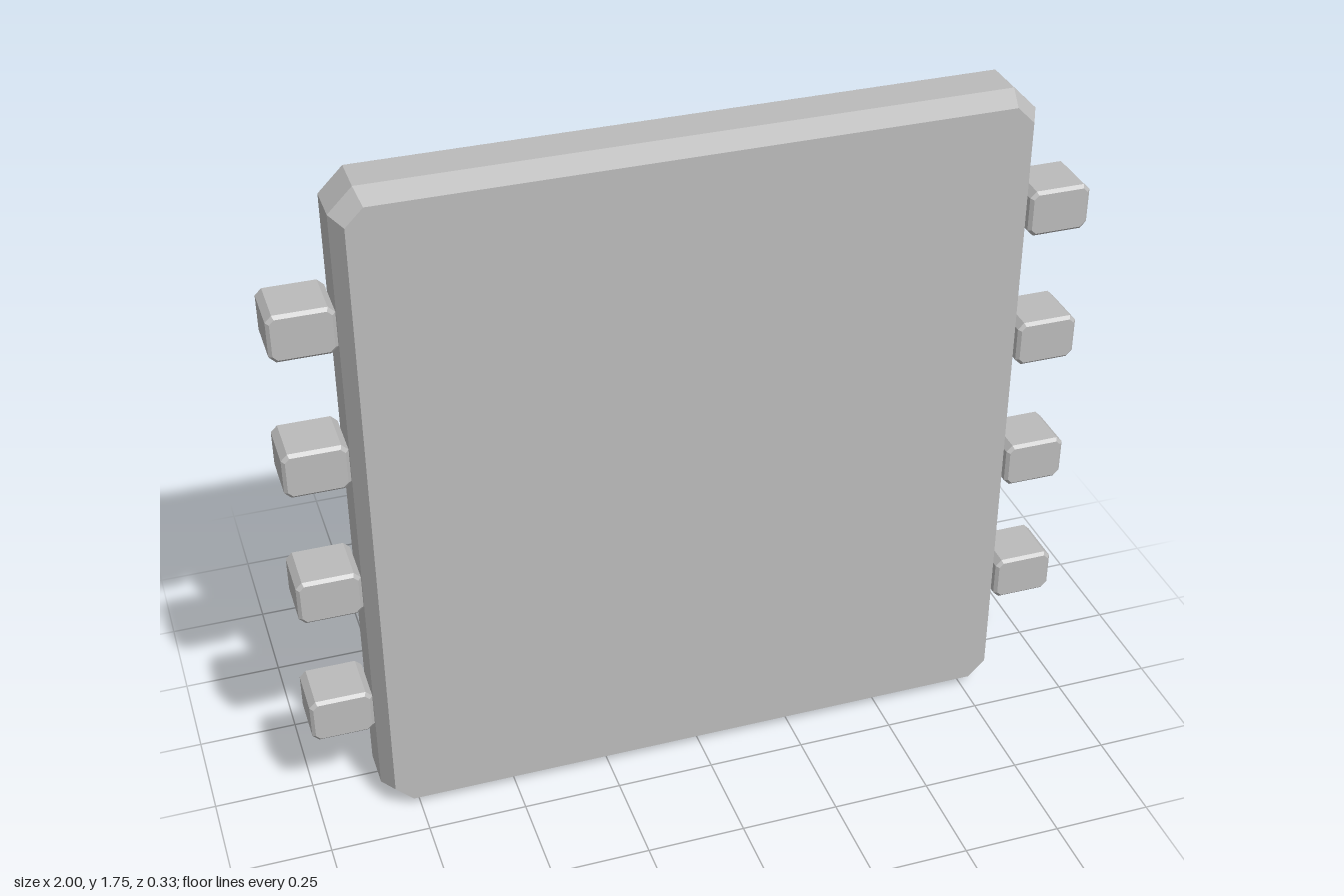
import * as THREE from 'three';

const grey = new THREE.MeshStandardMaterial({ color: 0xbbbbbb });
grey.name = 'plain grey';
grey.flatShading = true;
grey.side = THREE.DoubleSide;

function addMesh(parent, name, geometry, x, y, z) {
  const mesh = new THREE.Mesh(geometry, grey);
  mesh.name = name;
  mesh.position.set(x, y, z);
  parent.add(mesh);
  return mesh;
}

// Slab with cut corners and chamfered front and back rims, centred on its origin
function chamferedSlab(w, h, d, corner, rim, rimDepth) {
  const x = w / 2, y = h / 2, c = corner;
  const outline = new THREE.Shape([
    [x - c, -y], [x, -y + c], [x, y - c], [x - c, y],
    [-x + c, y], [-x, y - c], [-x, -y + c], [-x + c, -y],
  ].map(([px, py]) => new THREE.Vector2(px, py)));
  const geo = new THREE.ExtrudeGeometry(outline, {
    depth: d - 2 * rimDepth, bevelEnabled: true, bevelSegments: 1,
    bevelSize: rim, bevelOffset: -rim, bevelThickness: rimDepth,
  });
  geo.translate(0, 0, -d / 2 + rimDepth);
  return geo;
}

// Open folded blade: an upper sloping strip and a lower return strip
function louverBlade() {
  const rows = [
    [0.58, -0.55, 0, 0],
    [0.63, -0.5, -0.05, -0.056],
    [0.54, -0.59, -0.115, 0],
  ];
  const positions = [];
  for (const [x0, x1, y, z] of rows) positions.push(x0, y, z, x1, y, z);
  const geo = new THREE.BufferGeometry();
  geo.setAttribute('position', new THREE.Float32BufferAttribute(positions, 3));
  geo.setIndex([0, 2, 1, 1, 2, 3, 2, 4, 3, 3, 4, 5]);
  const flat = geo.toNonIndexed();
  flat.computeVertexNormals();
  return flat;
}

export function createModel() {
  const model = new THREE.Group();
  model.name = 'ventedPanel';

  // Main panel
  addMesh(model, 'panel', chamferedSlab(1.68, 1.75, 0.21, 0.06, 0.027, 0.053), 0, 0.875, 0.055);

  // Side lugs
  const lug = chamferedSlab(0.157, 0.12, 0.143, 0.016, 0.008, 0.008);
  for (const side of [-1, 1]) {
    for (let i = 0; i < 4; i++) {
      addMesh(model, 'sideLug', lug, side * 0.9215, 0.31 + i * 0.367, 0.055);
    }
  }

  // Vents on the back: a raised plate with a folded blade
  const plate = chamferedSlab(1.295, 0.242, 0.055, 0.02, 0.01, 0.012);
  const blade = louverBlade();
  for (let i = 0; i < 3; i++) {
    const vent = new THREE.Group();
    vent.name = 'vent';
    vent.position.set(0, 0.474 + i * 0.4235, 0);
    addMesh(vent, 'ventPlate', plate, 0, 0, -0.0765);
    addMesh(vent, 'louverBlade', blade, 0, 0.024, -0.111);
    model.add(vent);
  }

  // Screws in the back corners
  const screw = new THREE.CylinderGeometry(0.034, 0.028, 0.055, 8);
  screw.rotateX(Math.PI / 2);
  for (const x of [-0.71, 0.71]) {
    for (const y of [0.145, 1.618]) addMesh(model, 'screw', screw, x, y, -0.072);
  }

  return model;
}
